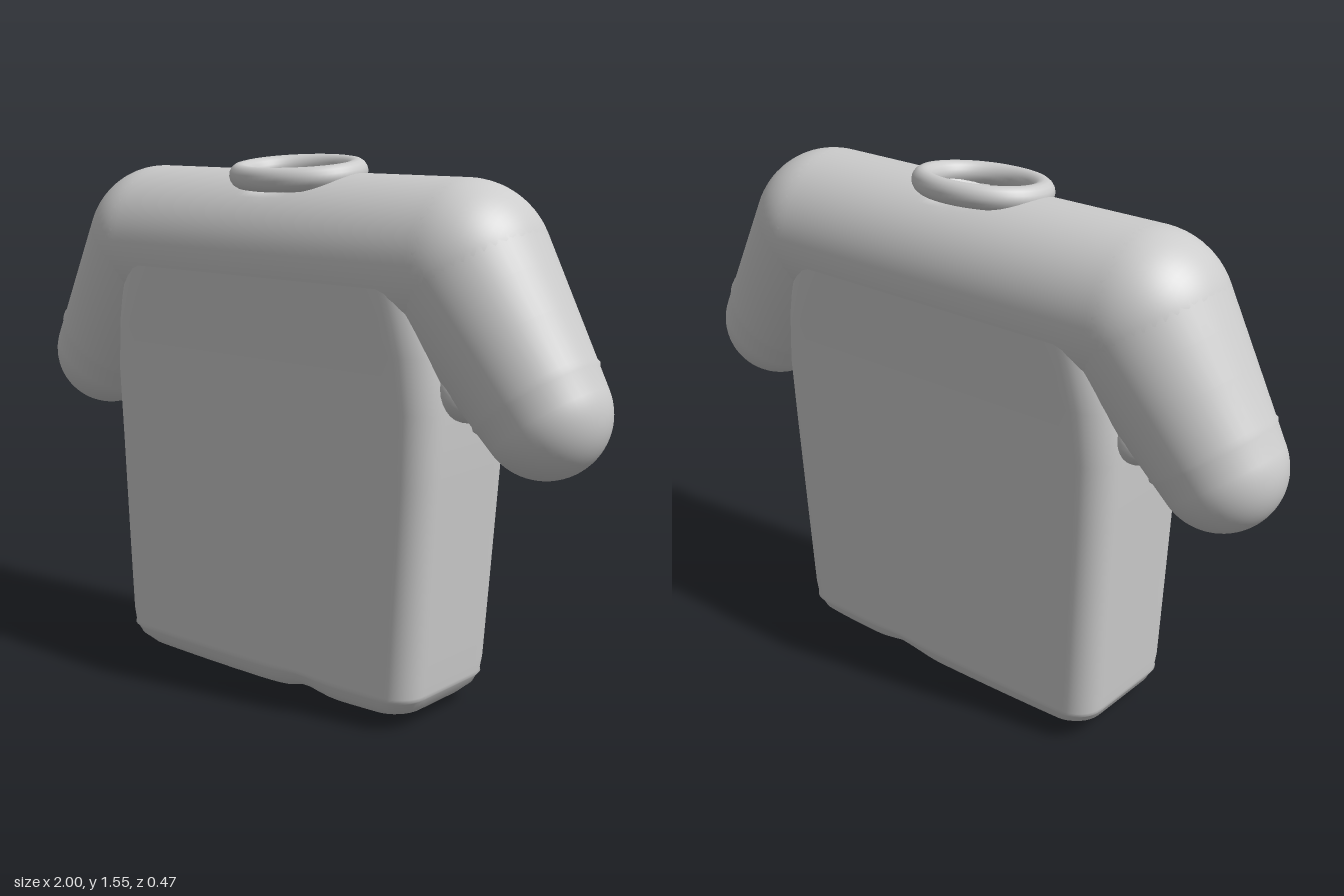
import * as THREE from 'three';

const SHOULDER = { x: 0.56, y: 1.272, r: 0.236 };
const CUFF = { x: 0.825, y: 0.912, r: 0.173 };

// One rounded-rectangle loop, with extra points along the straight sides
function roundedLoop(hx, hz, r, arc = 8, side = 24) {
  const corners = [[1, 1], [-1, 1], [-1, -1], [1, -1]].map(([sx, sz], q) => {
    const pts = [];
    for (let i = 0; i <= arc; i++) {
      const a = (q + i / arc) * Math.PI / 2;
      pts.push([sx * (hx - r) + r * Math.cos(a), sz * (hz - r) + r * Math.sin(a)]);
    }
    return pts;
  });
  const loop = [];
  corners.forEach((pts, q) => {
    loop.push(...pts);
    const a = pts[arc], b = corners[(q + 1) % 4][0];
    for (let i = 1; i < side; i++) {
      const t = i / side;
      loop.push([a[0] + (b[0] - a[0]) * t, a[1] + (b[1] - a[1]) * t]);
    }
  });
  return loop;
}

// Body: rounded loops stacked from the closed hem to the shoulders
function torsoGeometry() {
  // height, half width, half depth, corner radius
  const rows = [
    [0.006, 0.40, 0, 0], [0.006, 0.43, 0.09, 0.05], [0.014, 0.47, 0.13, 0.07],
    [0.032, 0.51, 0.167, 0.08], [0.06, 0.537, 0.192, 0.08], [0.083, 0.546, 0.2, 0.08],
    [0.091, 0.552, 0.206, 0.08], [0.1, 0.551, 0.204, 0.08], [0.14, 0.556, 0.207, 0.08],
    [0.4, 0.57, 0.211, 0.08], [0.7, 0.586, 0.215, 0.08], [0.9, 0.598, 0.219, 0.085],
    [1.05, 0.595, 0.224, 0.1], [1.15, 0.58, 0.229, 0.11], [1.27, 0.55, 0.233, 0.12],
  ];
  const pos = [], index = [];
  let n = 0;
  rows.forEach(([y, hx, hz, r], j) => {
    const loop = roundedLoop(hx, hz, r);
    n = loop.length;
    loop.forEach(([x, z], i) => {
      // the hem lifts in a small wave
      const fade = Math.max(0, 1 - y / 0.12);
      const wave = 0.026 * Math.exp(-(((x - 0.16) / 0.07) ** 2)) + 0.05 * x * x;
      pos.push(x - 0.012 * Math.max(0, 1 - y / 0.8), y + fade * wave, z);
      if (j < rows.length - 1) {
        const a = j * n + i, b = j * n + (i + 1) % n;
        index.push(a, a + n, b, b, a + n, b + n);
      }
    });
  });
  const g = new THREE.BufferGeometry();
  g.setAttribute('position', new THREE.Float32BufferAttribute(pos, 3));
  g.setIndex(index);
  g.computeVertexNormals();
  return g;
}

// Shoulder yoke: a lying capsule, hollowed under the collar
function yokeGeometry() {
  const g = new THREE.CapsuleGeometry(SHOULDER.r, SHOULDER.x * 2, 16, 64, 60);
  g.rotateZ(Math.PI / 2);
  const p = g.attributes.position;
  for (let i = 0; i < p.count; i++) {
    const x = p.getX(i), z = p.getZ(i);
    const d = Math.hypot(x / 0.16, (z - 0.02) / 0.135);
    if (p.getY(i) > 0 && d < 1) {
      p.setY(i, p.getY(i) - 0.09 * THREE.MathUtils.smoothstep(1 - d, 0, 0.35));
    }
  }
  g.computeVertexNormals();
  return g;
}

// Sleeve: tapered capsule with a faint stitched ridge above the round end
function sleeveGeometry(length) {
  const tilt = Math.asin((SHOULDER.r - CUFF.r) / length);
  const pts = [];
  const arc = (r, y, from, to, n) => {
    for (let i = 0; i <= n; i++) {
      const a = from + (to - from) * i / n;
      pts.push(new THREE.Vector2(Math.max(0, r * Math.cos(a)), y + r * Math.sin(a)));
    }
  };
  arc(CUFF.r, 0, -Math.PI / 2, -tilt, 16);
  const radiusAt = y => CUFF.r / Math.cos(tilt) + y * Math.tan(tilt);
  [[0.04, 0], [0.05, 0.004], [0.06, 0], [0.2, 0], [0.32, 0]].forEach(([y, bump]) =>
    pts.push(new THREE.Vector2(radiusAt(y) + bump, y)));
  arc(SHOULDER.r, length, -tilt, Math.PI / 2, 16);
  return new THREE.LatheGeometry(pts, 48);
}

export function createModel() {
  const model = new THREE.Group();
  model.name = 'shirt';
  const cloth = new THREE.MeshStandardMaterial({ color: 0xcccccc, side: THREE.DoubleSide });
  cloth.name = 'grey cloth';

  const add = (name, geometry, parent = model) => {
    const mesh = new THREE.Mesh(geometry, cloth);
    mesh.name = name;
    parent.add(mesh);
    return mesh;
  };

  add('torso', torsoGeometry());
  add('shoulderYoke', yokeGeometry()).position.y = SHOULDER.y;

  // Sleeves and the gussets that fill the armpits
  const dx = CUFF.x - SHOULDER.x, dy = SHOULDER.y - CUFF.y;
  const sleeve = sleeveGeometry(Math.hypot(dx, dy));
  const gusset = new THREE.SphereGeometry(1, 24, 16);
  for (const [side, s] of [['left', 1], ['right', -1]]) {
    const arm = add(side + 'Sleeve', sleeve);
    arm.position.set(s * CUFF.x, CUFF.y, 0);
    arm.rotation.z = s * Math.atan2(dx, dy);
    const pit = add(side + 'Gusset', gusset);
    pit.position.set(s * 0.605, 0.97, 0);
    pit.scale.set(0.07, 0.11, 0.15);
  }

  // Collar: oval ring, tipped forward, on a flared neck open at the front
  const collar = new THREE.Group();
  collar.name = 'collar';
  collar.position.set(0, 1.503, 0.022);
  collar.rotation.x = 0.1;
  collar.scale.z = 0.83;
  model.add(collar);
  const ring = new THREE.TorusGeometry(0.178, 0.034, 16, 64);
  ring.rotateX(Math.PI / 2);
  add('collarRing', ring, collar);
  const flare = [[0.135, -0.1], [0.142, -0.06], [0.155, -0.03], [0.175, 0]]
    .map(([x, y]) => new THREE.Vector2(x, y));
  add('neckBand', new THREE.LatheGeometry(flare, 48, 0.45, Math.PI * 2 - 0.9), collar);

  return model;
}
